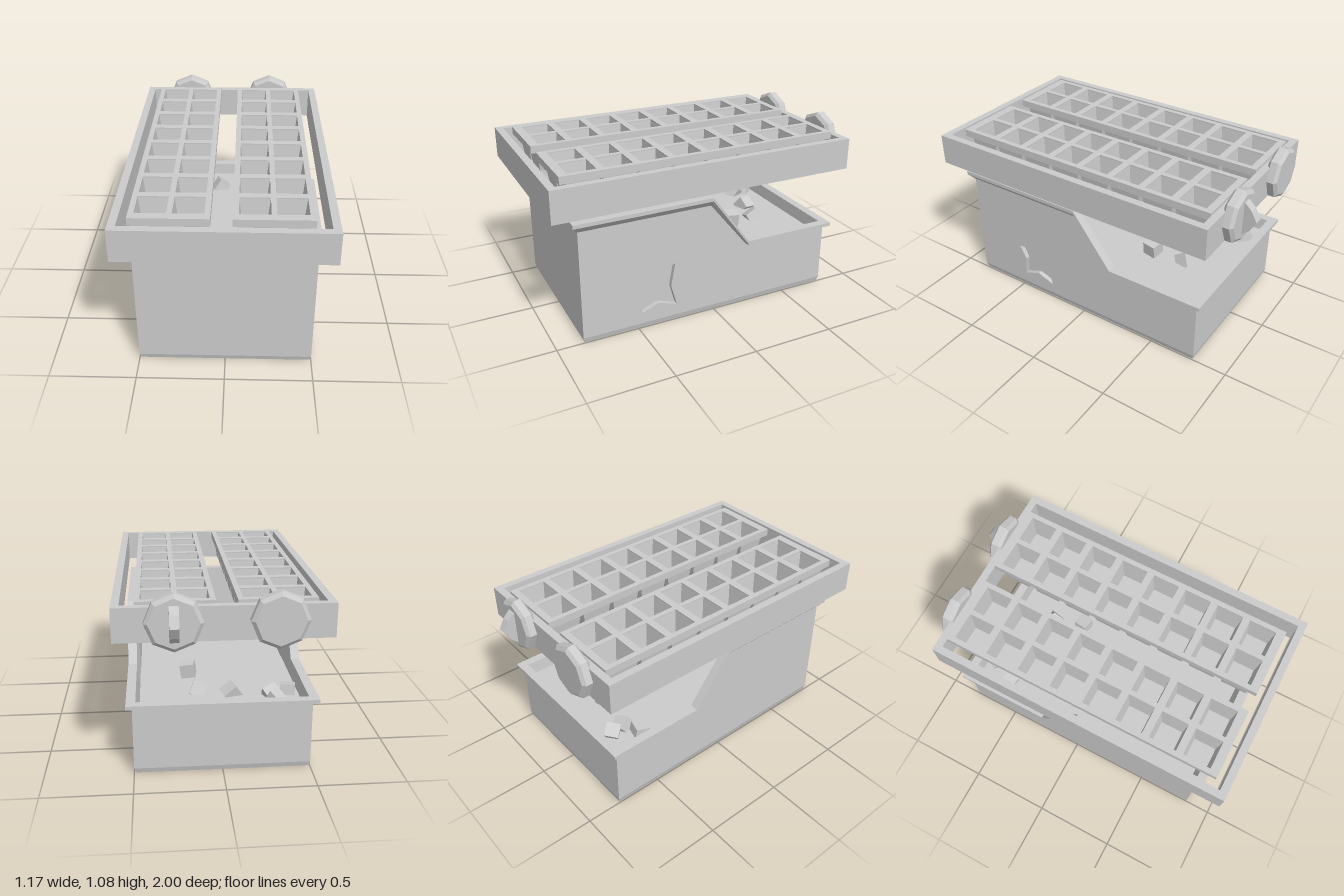
import * as THREE from 'three';

const grey = new THREE.MeshStandardMaterial({ color: 0xcccccc, side: THREE.DoubleSide });

function add(parent, geo, name, x = 0, y = 0, z = 0) {
  let g = geo.index ? geo.toNonIndexed() : geo;
  g.computeVertexNormals(); // faceted
  const m = new THREE.Mesh(g, grey);
  m.name = name;
  m.position.set(x, y, z);
  parent.add(m);
  return m;
}

const poly = (pts) => pts.map(([a, b]) => new THREE.Vector2(a, b));
const rect = (x0, z0, x1, z1) => poly([[x0, z0], [x1, z0], [x1, z1], [x0, z1]]);

// horizontal plate with holes; its top lies at y = 0
function plate(outer, holes, thickness) {
  const s = new THREE.Shape(outer);
  s.holes = holes.map((h) => new THREE.Path(h));
  return new THREE.ExtrudeGeometry(s, { depth: thickness, bevelEnabled: false }).rotateX(Math.PI / 2);
}

// upright plate drawn in [z, y], extruded towards +x
function sidePlate(outer, holes, thickness) {
  const flip = (pts) => poly(pts.map(([z, y]) => [-z, y]));
  const s = new THREE.Shape(flip(outer));
  s.holes = holes.map((h) => new THREE.Path(flip(h)));
  return new THREE.ExtrudeGeometry(s, { depth: thickness, bevelEnabled: false }).rotateY(Math.PI / 2);
}

// stepped bin: rings of [offset, height] swept around the plan stations [x, z, rim height]
function buildBin() {
  const bin = new THREE.Group();
  bin.name = 'bin';
  const right = [[0.5, 0.84, 0.76], [0.5, 0.03, 0.76], [0.5, -0.22, 0.43], [0.5, -0.79, 0.43]];
  const stations = [...right, ...right.map(([x, z, h]) => [-x, z, h]).reverse()];
  const rings = [
    [-0.008, () => 0], [0, () => 0.03], [0, (h) => h - (h > 0.5 ? 0.06 : 0.035)],
    [0.033, (h) => h - 0.022], [0.033, (h) => h], [-0.02, (h) => h], [-0.06, () => 0.05],
  ];
  const verts = [];
  for (const [o, y] of rings) {
    for (const [x, z, h] of stations) {
      const corner = Math.abs(z) > 0.7;
      verts.push(x + Math.sign(x) * o, y(h), corner ? z + Math.sign(z) * o : z);
    }
  }
  const n = stations.length, index = [];
  for (let r = 0; r < rings.length - 1; r++) {
    for (let i = 0; i < n; i++) {
      if (r === 1 && i === 0) continue; // replaced by the panel with the star
      const j = (i + 1) % n;
      const a = r * n + i, b = r * n + j, c = b + n, d = a + n;
      // stations run front to back on the +x side
      index.push(a, b, c, a, c, d);
    }
  }
  const geo = new THREE.BufferGeometry();
  geo.setAttribute('position', new THREE.Float32BufferAttribute(verts, 3));
  geo.setIndex(index);
  add(bin, geo, 'binShell');
  add(bin, new THREE.BoxGeometry(0.984, 0.01, 1.614), 'binBottom', 0, 0.005, 0.025);

  // star-shaped recess in the side wall
  const star = [[0.506, 0.305], [0.356, 0.327], [0.26, 0.38], [0.287, 0.23],
    [0.25, 0.1], [0.367, 0.14], [0.474, 0.1], [0.463, 0.22]];
  const wall = [[0.84, 0.03], [0.03, 0.03], [0.03, 0.7], [0.84, 0.7]];
  add(bin, sidePlate(wall, [star], 0.03), 'starPanel', 0.47);
  add(bin, new THREE.BoxGeometry(0.008, 0.3, 0.3), 'starRecessBack', 0.467, 0.24, 0.38);

  // ice fill with cubes sticking out
  add(bin, new THREE.BoxGeometry(0.92, 0.02, 1.55), 'iceSurface', 0, 0.35, 0.025);
  const cubes = [[0.12, -0.5], [-0.07, -0.55], [-0.4, -0.55], [-0.31, -0.68], [-0.3, -0.6], [0.17, -0.3, 0.05]];
  cubes.forEach(([x, z, lift = 0], i) => {
    const c = add(bin, new THREE.BoxGeometry(0.085, 0.085, 0.085), 'iceCube', x, 0.37 + lift, z);
    c.rotation.set(0.5 + i * 1.3, i * 0.9, 0.4 + i * 0.7);
  });
  return bin;
}

// tray: lipped plate with two rows of eight tapered cups
function buildTray(x) {
  const tray = new THREE.Group();
  tray.name = 'iceTray';
  tray.position.x = x;
  const r2 = Math.SQRT2;
  const profile = poly([[0, 0.845], [0.078 * r2, 0.845], [0.096 * r2, 0.975], [0.083 * r2, 1.01],
    [0.066 * r2, 0.865], [0, 0.865]]);
  const cup = new THREE.LatheGeometry(profile, 4, Math.PI / 4);
  const holes = [];
  for (const cx of [-0.098, 0.098]) {
    for (let i = 0; i < 8; i++) {
      const cz = -0.695 + i * 0.21;
      holes.push(rect(cx - 0.083, cz - 0.083, cx + 0.083, cz + 0.083));
      add(tray, cup, 'cup', cx, 0, cz);
    }
  }
  add(tray, plate(rect(-0.212, -0.82, 0.212, 0.91), holes, 0.045), 'trayTop', 0, 1.017);
  return tray;
}

// octagonal knob at the back of a tray
function buildKnob(x, withGrip) {
  const knob = new THREE.Group();
  knob.name = 'knob';
  knob.position.set(x, 0.925, 0);
  const profile = poly([[0, 0.845], [0.135, 0.845], [0.157, 0.862], [0.157, 0.905], [0.135, 0.922], [0, 0.922]]);
  add(knob, new THREE.LatheGeometry(profile, 8).rotateX(-Math.PI / 2), 'knobDisc');
  add(knob, new THREE.CylinderGeometry(0.03, 0.03, 0.08, 8).rotateX(Math.PI / 2), 'knobShaft', 0, 0, -0.82);
  if (withGrip) {
    const grip = [[-0.91, 0.1], [-0.93, 0.097], [-0.965, 0.062], [-1, 0], [-0.965, -0.062], [-0.93, -0.097], [-0.91, -0.1]];
    add(knob, sidePlate(grip, [], 0.05), 'knobGrip', -0.025);
  }
  return knob;
}

export function createModel() {
  const model = new THREE.Group();
  model.name = 'iceMaker';
  model.add(buildBin());
  // open rectangular frame around the trays
  const frame = plate(rect(-0.587, -0.865, 0.587, 1), [rect(-0.543, -0.82, 0.543, 0.955)], 0.19);
  add(model, frame, 'frame', 0, 1);
  model.add(buildTray(-0.283), buildTray(0.255));
  model.add(buildKnob(-0.285, false), buildKnob(0.265, true));
  return model;
}
